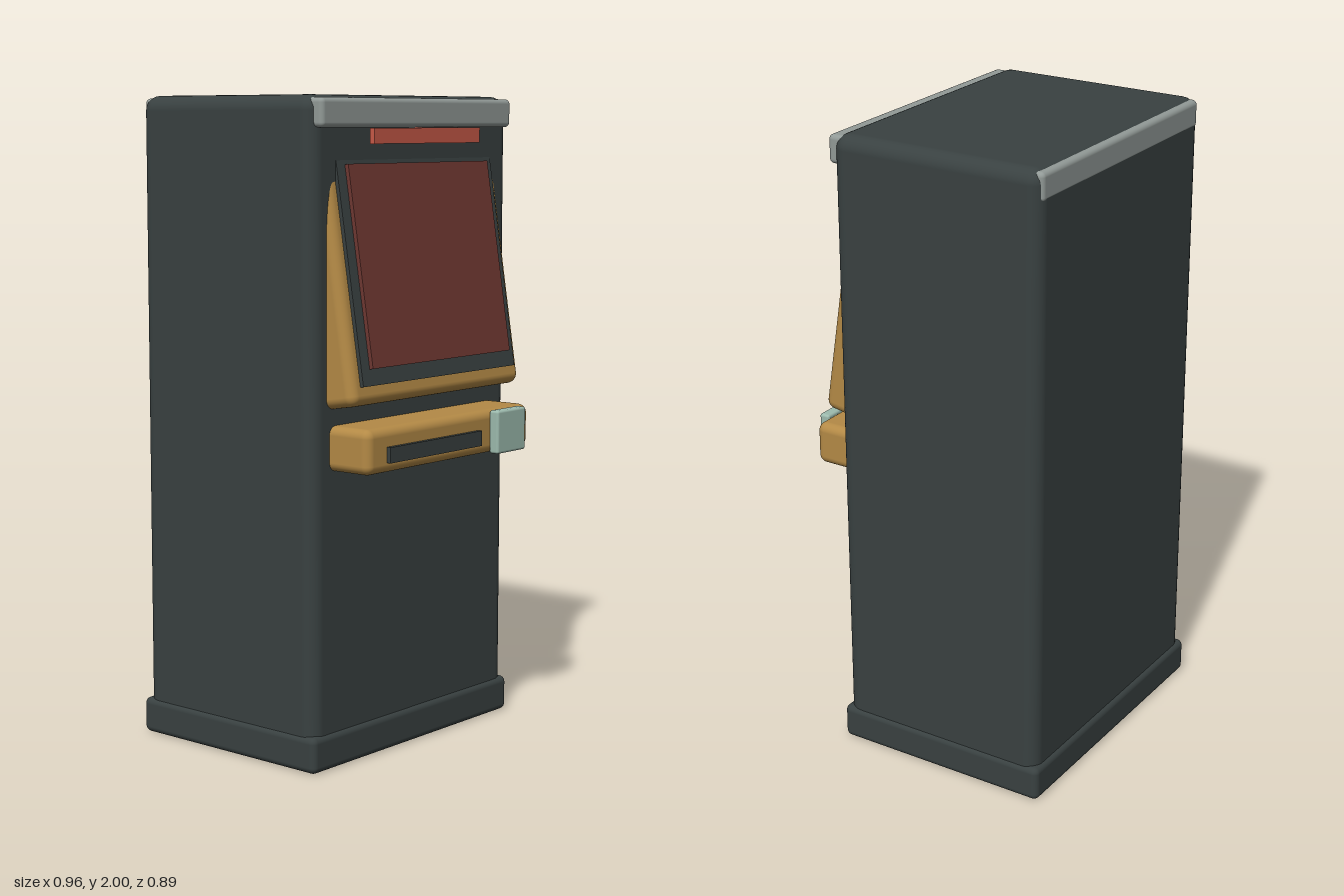
import * as THREE from 'three';
import { RoundedBoxGeometry } from 'three/addons/geometries/RoundedBoxGeometry.js';

const mat = (name, color) => {
  const m = new THREE.MeshStandardMaterial({ color });
  m.name = name;
  return m;
};

export function createModel() {
  const charcoal = mat('charcoal', 0x394141);
  const gold = mat('gold', 0xb48a46);
  const grey = mat('grey trim', 0x929a97);
  const glass = mat('dark red glass', 0x6f3832);
  const red = mat('red light', 0xc85a48);
  const mint = mat('pale mint', 0x9dbbae);

  const group = new THREE.Group();
  group.name = 'kiosk';

  // Box from its extents, with rounded edges when a radius is given
  function box(parent, name, material, [x0, x1], [y0, y1], [z0, z1], radius = 0) {
    const w = x1 - x0, h = y1 - y0, d = z1 - z0;
    const geometry = radius
      ? new RoundedBoxGeometry(w, h, d, 4, radius)
      : new THREE.BoxGeometry(w, h, d);
    const mesh = new THREE.Mesh(geometry, material);
    mesh.name = name;
    mesh.position.set((x0 + x1) / 2, (y0 + y1) / 2, (z0 + z1) / 2);
    parent.add(mesh);
    return mesh;
  }

  // Cabinet and plinth
  box(group, 'cabinet', charcoal, [-0.473, 0.473], [0.02, 2], [-0.433, 0.267], 0.045);
  box(group, 'plinth', charcoal, [-0.481, 0.481], [0, 0.112], [-0.445, 0.277], 0.02);

  // Trim band through the top of the cabinet, and the light below it
  box(group, 'topTrim', grey, [-0.454, 0.454], [1.905, 1.992], [-0.4335, 0.29], 0.015);
  box(group, 'signLight', red, [-0.254, 0.254], [1.858, 1.904], [0.3, 0.317]);

  // Display leaning back; local z = 0 is the front face of the bezel
  const display = new THREE.Group();
  display.name = 'display';
  display.position.set(0, 1.465, 0.313);
  display.rotation.x = -0.16;
  group.add(display);
  box(display, 'bezel', gold, [-0.41, 0.41], [-0.365, 0.36], [-0.16, 0], 0.03);
  box(display, 'screenFrame', charcoal, [-0.37, 0.37], [-0.311, 0.349], [-0.018, 0.012]);
  box(display, 'screen', glass, [-0.335, 0.335], [-0.262, 0.336], [0.014, 0.027]);

  // Shelf with card slot and button
  box(group, 'shelf', gold, [-0.397, 0.397], [0.903, 1.038], [0.2, 0.415], 0.027);
  box(group, 'cardSlot', charcoal, [-0.313, 0.129], [0.935, 0.982], [0.416, 0.43]);
  box(group, 'button', mint, [0.187, 0.333], [0.903, 1.038], [0.413, 0.448], 0.008);

  return group;
}
